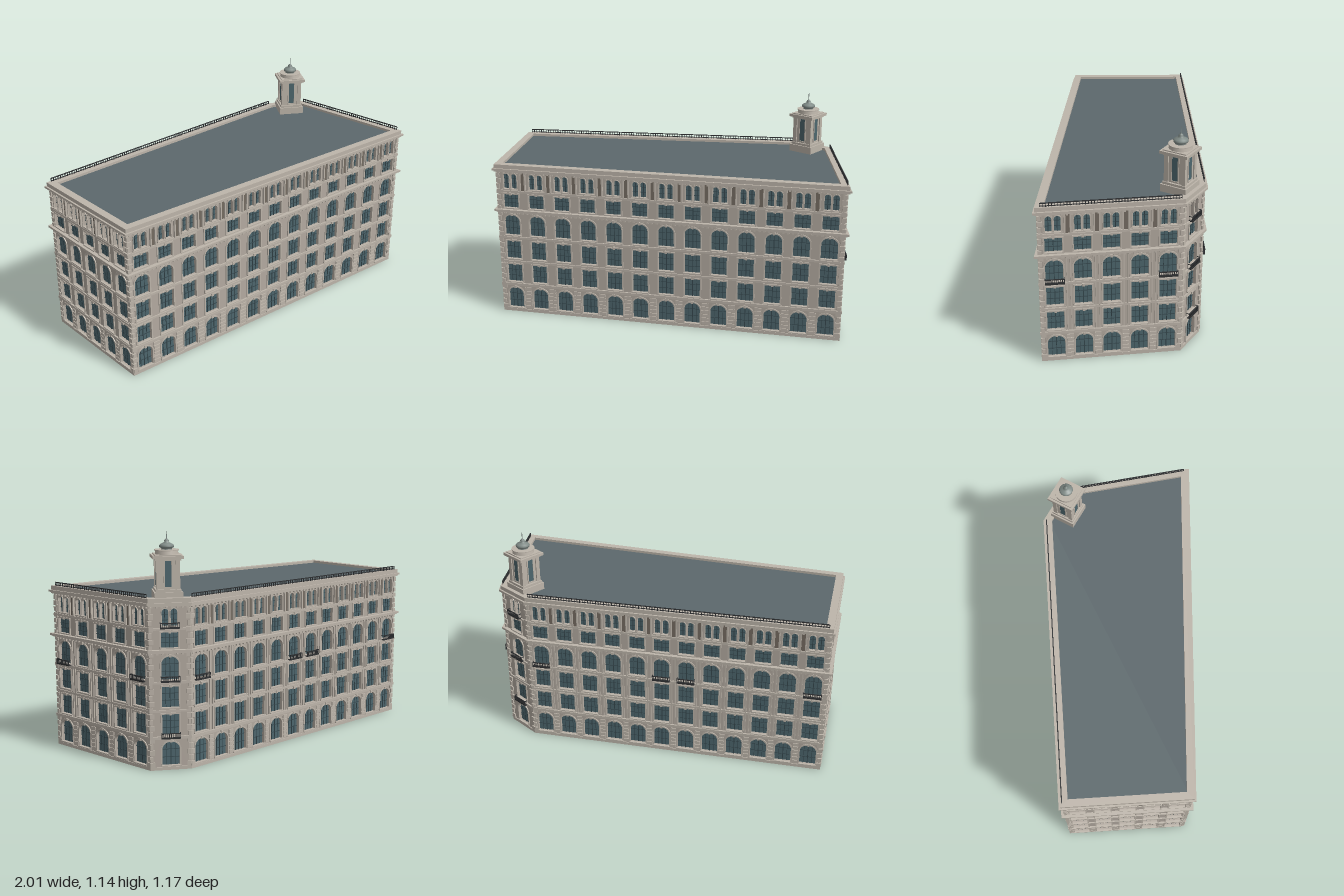
import * as THREE from 'three';
import { mergeGeometries } from 'three/addons/utils/BufferGeometryUtils.js';

const mat = (color, side = THREE.FrontSide) => new THREE.MeshStandardMaterial({ color, side });
const STONE = mat(0xb3aaa0), TRIM = mat(0xbdb5aa), SHADE = mat(0x756c62), IRON = mat(0x2e3032);
const GLASS = mat(0x4d666d, THREE.DoubleSide), FRAME = mat(0x35474d), ROOF = mat(0x5c686c), DOME = mat(0x7f8a86);

// Footprint corners [x, z], running left to right as seen from outside
const PLAN = [[-0.77, 0.555], [0.975, 0.085], [0.68, -0.52], [0.49, -0.565], [-0.975, -0.045]];
const BAYS = [13, 5, 1, 12, 5];
const NAMES = ['frontWall', 'rightEndWall', 'cornerWall', 'backWall', 'leftEndWall'];
const THICK = 0.016, WALL_TOP = 0.815;

// Floors: window bottom, top, width, arch rise, centre offsets in the bay
const FLOORS = [
  { y0: 0.022, y1: 0.14, w: 0.084, arch: 0.036, at: [0] },
  { y0: 0.174, y1: 0.275, w: 0.082, arch: 0, at: [0] },
  { y0: 0.308, y1: 0.41, w: 0.082, arch: 0, at: [0] },
  { y0: 0.443, y1: 0.557, w: 0.084, arch: 0.036, at: [0] },
  { y0: 0.597, y1: 0.672, w: 0.082, arch: 0, at: [0] },
  { y0: 0.702, y1: 0.785, w: 0.031, arch: 0.015, at: [-0.021, 0.021] },
];

function box(w, h, d, x, y, z) {
  return new THREE.BoxGeometry(w, h, d).translate(x, y, z);
}

function mesh(name, geos, material) {
  const list = [].concat(geos).map(g => (g.index ? g.toNonIndexed() : g));
  const m = new THREE.Mesh(mergeGeometries(list), material);
  m.name = name;
  return m;
}

// Rectangular or arched opening
function outline(Type, cx, y0, y1, w, arch) {
  const s = new Type(), r = w / 2;
  s.moveTo(cx - r, y0);
  s.lineTo(cx + r, y0);
  s.lineTo(cx + r, y1 - arch);
  if (arch) s.absellipse(cx, y1 - arch, r, arch, 0, Math.PI, false, 0);
  else s.lineTo(cx - r, y1);
  s.lineTo(cx - r, y0);
  return s;
}

const extrude = (shape, depth) =>
  new THREE.ExtrudeGeometry(shape, { depth, bevelEnabled: false, curveSegments: 8 });

// Footprint moved outward by d with mitred corners
function offsetPlan(d) {
  const n = PLAN.length;
  const normal = i => {
    const a = PLAN[i % n], b = PLAN[(i + 1) % n];
    return new THREE.Vector2(a[1] - b[1], b[0] - a[0]).normalize();
  };
  return PLAN.map((p, i) => {
    const a = normal(i + n - 1), b = normal(i), k = d / (1 + a.dot(b));
    return new THREE.Vector2(p[0] + (a.x + b.x) * k, -(p[1] + (a.y + b.y) * k));
  });
}

// Horizontal slab, or ring when an inner offset is given
function slab(out, y0, y1, inner) {
  const s = new THREE.Shape(offsetPlan(out));
  if (inner !== undefined) s.holes.push(new THREE.Path(offsetPlan(inner)));
  return extrude(s, y1 - y0).rotateX(-Math.PI / 2).translate(0, y0, 0);
}

// Iron railing along local x
function railing(x0, x1, y, h, z, step) {
  const out = [box(x1 - x0, 0.004, 0.005, (x0 + x1) / 2, y + h, z), box(x1 - x0, 0.003, 0.004, (x0 + x1) / 2, y + 0.004, z)];
  const n = Math.round((x1 - x0) / step);
  for (let i = 0; i <= n; i++) out.push(box(0.003, h, 0.003, x0 + ((x1 - x0) * i) / n, y + h / 2, z));
  return out;
}

function balcony(x, y) {
  const out = [box(0.092, 0.005, 0.022, x, y, 0.011), ...railing(x - 0.045, x + 0.045, y, 0.024, 0.02, 0.009)];
  for (const s of [-1, 1]) out.push(box(0.003, 0.003, 0.02, x + s * 0.045, y + 0.024, 0.01));
  return out;
}

function buildWall(i) {
  const a = PLAN[i], b = PLAN[(i + 1) % PLAN.length];
  const dx = b[0] - a[0], dz = b[1] - a[1], len = Math.hypot(dx, dz);
  const n = BAYS[i], pitch = len / n;
  const g = new THREE.Group();
  g.name = NAMES[i];
  g.position.set(a[0], 0, a[1]);
  g.rotation.y = Math.atan2(-dz, dx);

  const face = outline(THREE.Shape, len / 2, 0, WALL_TOP, len, 0);
  const trim = [], bars = [], shade = [], iron = [];
  for (let k = 0; k < n; k++) {
    const cx = (k + 0.5) * pitch;
    for (const f of FLOORS) for (const off of f.at) {
      const x = cx + off, h = f.y1 - f.y0, mid = (f.y0 + f.y1) / 2;
      face.holes.push(outline(THREE.Path, x, f.y0, f.y1, f.w, f.arch));
      // Moulded surround, sill and keystone
      const e = f.w > 0.05 ? 0.007 : 0.004;
      const ring = outline(THREE.Shape, x, f.y0 - 0.003, f.y1 + e, f.w + 2 * e, f.arch && f.arch + e);
      ring.holes.push(outline(THREE.Path, x, f.y0, f.y1, f.w, f.arch));
      trim.push(extrude(ring, 0.005));
      trim.push(box(f.w + 0.012, 0.006, 0.01, x, f.y0 - 0.002, 0.003));
      if (f.w > 0.05) trim.push(box(0.012, 0.014, 0.009, x, f.y1 + 0.004, 0.0045));
      // Glazing bars
      const cols = f.w > 0.05 ? [-0.25, 0, 0.25] : [0];
      for (const c of cols) bars.push(box(c ? 0.002 : 0.004, h - Math.abs(c) * f.arch, 0.003, x + c * f.w, mid - Math.abs(c) * f.arch / 2, -0.011));
      for (const t of [0.33, 0.66]) bars.push(box(f.w, 0.0025, 0.003, x, f.y0 + h * t, -0.011));
    }
    if (k === 0) continue;
    const px = k * pitch;
    // Rusticated ground floor piers
    for (let r = 0; r < 6; r++) trim.push(box(pitch - 0.102, 0.017, 0.006, px, 0.03 + r * 0.021, 0.002));
    // Top floor paired columns on a dark recess
    shade.push(box(0.026, 0.1, 0.004, px, 0.745, 0.001));
    for (const s of [-1, 1]) {
      trim.push(box(0.007, 0.1, 0.012, px + s * 0.013, 0.745, 0.005));
      // Slim full height strips on the street sides
      if (i === 1 || i === 3) trim.push(box(0.006, 0.4, 0.008, px + s * 0.009, 0.37, 0.002));
    }
  }
  // Corner quoins
  for (let r = 0; r < 26; r++) {
    const y = 0.027 + r * 0.03, w = r % 2 ? 0.016 : 0.024;
    trim.push(box(w, 0.023, 0.012, w / 2 - 0.004, y, 0.001), box(w, 0.023, 0.012, len - w / 2 + 0.004, y, 0.001));
  }
  // Dentils below both cornices
  const teeth = Math.round(len / 0.024);
  for (let t = 0; t < teeth; t++) for (const y of [0.569, 0.792])
    trim.push(box(0.01, 0.007, 0.012, ((t + 0.5) * len) / teeth, y, 0.005));

  // Ironwork
  const spots = { 1: [0, 4], 2: [0], 3: [0, 5, 6, 11] }[i] || [];
  for (const k of spots) iron.push(...balcony((k + 0.5) * pitch, 0.437));
  if (i === 2) for (const y of [0.16, 0.694]) iron.push(...balcony(len / 2, y));
  if (i === 1 || i === 3) iron.push(...railing(0.01, len - 0.01, 0.835, 0.018, 0.003, 0.014));

  g.add(mesh('masonry', extrude(face, THICK).translate(0, 0, -THICK), STONE));
  g.add(mesh('windowGlass', new THREE.PlaneGeometry(len - 0.02, 0.8).translate(len / 2, 0.405, -0.013), GLASS));
  g.add(mesh('stoneTrim', trim, TRIM), mesh('glazingBars', bars, FRAME));
  if (shade.length) g.add(mesh('columnRecesses', shade, SHADE));
  if (iron.length) g.add(mesh('ironwork', iron, IRON));
  return g;
}

function buildTower() {
  const g = new THREE.Group();
  g.name = 'cornerTower';
  g.position.set(0.568, 0, -0.468);
  g.rotation.y = Math.atan2(0.045, -0.19);
  const stone = [box(0.136, 0.045, 0.136, 0, 0.8375, 0), box(0.122, 0.012, 0.122, 0, 0.866, 0), box(0.1, 0.15, 0.1, 0, 0.94, 0),
    box(0.122, 0.008, 0.122, 0, 1.011, 0), box(0.146, 0.014, 0.146, 0, 1.022, 0), box(0.124, 0.006, 0.124, 0, 1.031, 0)];
  const glass = [];
  for (let s = 0; s < 4; s++) {
    const turn = q => q.rotateY((s * Math.PI) / 2);
    stone.push(turn(box(0.022, 0.14, 0.022, 0.045, 0.94, 0.045)));
    // Tall window with its frame on each side
    glass.push(turn(box(0.03, 0.122, 0.004, 0, 0.944, 0.05)));
    for (const e of [-1, 1]) stone.push(turn(box(0.006, 0.13, 0.008, e * 0.018, 0.944, 0.05)));
    stone.push(turn(box(0.042, 0.007, 0.01, 0, 0.88, 0.051)));
  }
  const drum = [new THREE.CylinderGeometry(0.053, 0.056, 0.018, 24).translate(0, 1.043, 0),
    new THREE.CylinderGeometry(0.059, 0.059, 0.004, 24).translate(0, 1.053, 0)];
  const bulb = [[0.028, 1.053], [0.024, 1.06], [0.034, 1.065], [0.036, 1.072], [0.031, 1.079], [0.018, 1.085],
    [0.01, 1.09], [0.012, 1.096], [0.007, 1.102], [0.002, 1.106], [0.0015, 1.14], [0, 1.14]];
  g.add(mesh('towerBody', stone, TRIM), mesh('towerWindows', glass, GLASS), mesh('towerDrum', drum, TRIM));
  g.add(mesh('domeAndSpire', new THREE.LatheGeometry(bulb.map(p => new THREE.Vector2(...p)), 24), DOME));
  return g;
}

export function createModel() {
  const model = new THREE.Group();
  model.name = 'cornerBuilding';
  PLAN.forEach((_, i) => model.add(buildWall(i)));

  // String courses, cornices and parapet: outset, bottom, top
  const bands = [[0.005, 0, 0.015], [0.009, 0.153, 0.167], [0.006, 0.286, 0.297], [0.008, 0.425, 0.436],
    [0.012, 0.573, 0.579], [0.021, 0.579, 0.59], [0.007, 0.683, 0.694], [0.013, 0.796, 0.804], [0.021, 0.804, 0.814]];
  model.add(mesh('stringCourses', bands.map(([o, y0, y1]) => slab(o, y0, y1, -0.012)), TRIM));
  model.add(mesh('parapet', slab(0.012, 0.814, 0.835, -0.026), TRIM));
  model.add(mesh('roof', slab(-0.012, 0.812, 0.822), ROOF));
  model.add(mesh('floorSlab', slab(0, 0, 0.006), STONE));
  model.add(buildTower());
  return model;
}
